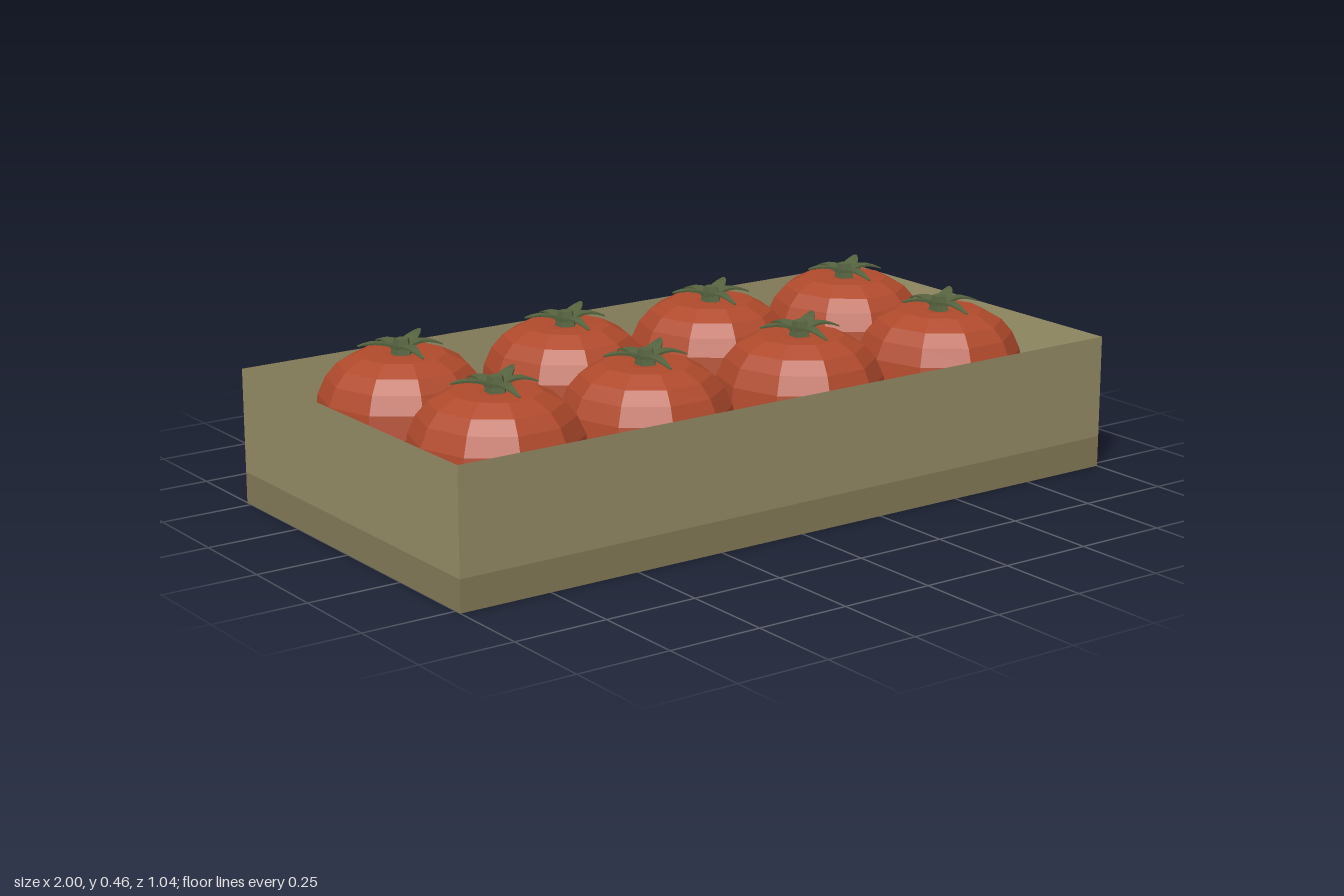
import * as THREE from 'three';

const mat = (name, color, extra = {}) => {
  const m = new THREE.MeshStandardMaterial({ color, flatShading: true, ...extra });
  m.name = name;
  return m;
};

export function createModel() {
  const wood = mat('wood', 0x968d66, { side: THREE.DoubleSide });
  const darkWood = mat('darkWood', 0x857b58);
  const tray = mat('trayGreen', 0x3a8468);
  const red = mat('tomatoRed', 0xb04a2c);
  const leafGreen = mat('leafGreen', 0x56633f);

  const root = new THREE.Group();
  root.name = 'tomatoCrate';
  const add = (parent, name, geometry, material) => {
    const mesh = new THREE.Mesh(geometry, material);
    mesh.name = name;
    parent.add(mesh);
    return mesh;
  };

  // Four-sided open shell between two heights, half widths given along x
  const RATIO = 0.52, RIM = 0.357, BAND = 0.083, FLOOR = 0.205;
  const shell = (bottom, top, y0, y1) =>
    new THREE.CylinderGeometry(top * Math.SQRT2, bottom * Math.SQRT2, y1 - y0, 4, 1, true)
      .rotateY(Math.PI / 4).scale(1, 1, RATIO).translate(0, (y0 + y1) / 2, 0);

  // Crate: dark base band, upright sides, sloping inside and green floor
  add(root, 'crateBase', new THREE.BoxGeometry(2, BAND, 2 * RATIO).translate(0, BAND / 2, 0), darkWood);
  add(root, 'crateWalls', shell(1, 1, BAND, RIM), wood);
  add(root, 'crateInnerWalls', shell(0.96, 1, FLOOR, RIM), wood);
  add(root, 'crateFloor', new THREE.PlaneGeometry(1.92, 1.92 * RATIO)
    .rotateX(-Math.PI / 2).translate(0, FLOOR, 0), tray);

  // Tomato body, ten sides, slightly dimpled on top
  const profile = [[0.2, 0.19], [0.222, 0.25], [0.214, 0.31], [0.193, 0.357], [0.164, 0.391],
    [0.113, 0.418], [0.05, 0.419], [0, 0.412]].map(([r, y]) => new THREE.Vector2(r, y));
  const bodyGeo = new THREE.LatheGeometry(profile, 10, Math.PI / 2).scale(1, 1, 1.03);

  // Leaf: a thin tapered strip that arches, bends sideways and ends at height "tip"
  const leafGeo = (length, tip, bend) => {
    const g = new THREE.BoxGeometry(1, 0.008, 1, 5, 1, 1);
    const p = g.attributes.position;
    for (let i = 0; i < p.count; i++) {
      const u = p.getX(i) + 0.5;
      const width = 0.046 * (1 - u) + 0.006;
      p.setXYZ(i, 0.01 + u * (length - 0.01),
        0.434 + 0.012 * Math.sin(Math.PI * u) + (tip - 0.434) * u * u + p.getY(i) * (1 - 0.6 * u),
        p.getZ(i) * width + bend * u * (1 - u));
    }
    g.computeVertexNormals();
    return g;
  };
  // angle in degrees (counter-clockwise from above), length, tip height, bend
  const leaves = [[177, 0.123, 0.452, 0.03], [100, 0.1, 0.432, -0.03], [38, 0.125, 0.45, 0.03],
    [-25, 0.103, 0.436, -0.03], [-95, 0.122, 0.43, 0.02]]
    .map(([deg, ...rest]) => leafGeo(...rest).rotateY(THREE.MathUtils.degToRad(deg)));
  const stemGeo = new THREE.CylinderGeometry(0.02, 0.03, 0.042, 5).rotateY(0.3).translate(0, 0.434, 0);

  // Two rows of four tomatoes
  const places = [[-0.705, -0.22], [-0.21, -0.22], [0.26, -0.22], [0.725, -0.225],
    [-0.705, 0.22], [-0.265, 0.22], [0.22, 0.22], [0.69, 0.22]];
  for (const [x, z] of places) {
    const tomato = new THREE.Group();
    tomato.name = 'tomato';
    tomato.position.set(x, 0, z);
    add(tomato, 'tomatoBody', bodyGeo, red);
    add(tomato, 'stem', stemGeo, leafGreen);
    for (const g of leaves) add(tomato, 'leaf', g, leafGreen);
    root.add(tomato);
  }
  return root;
}
